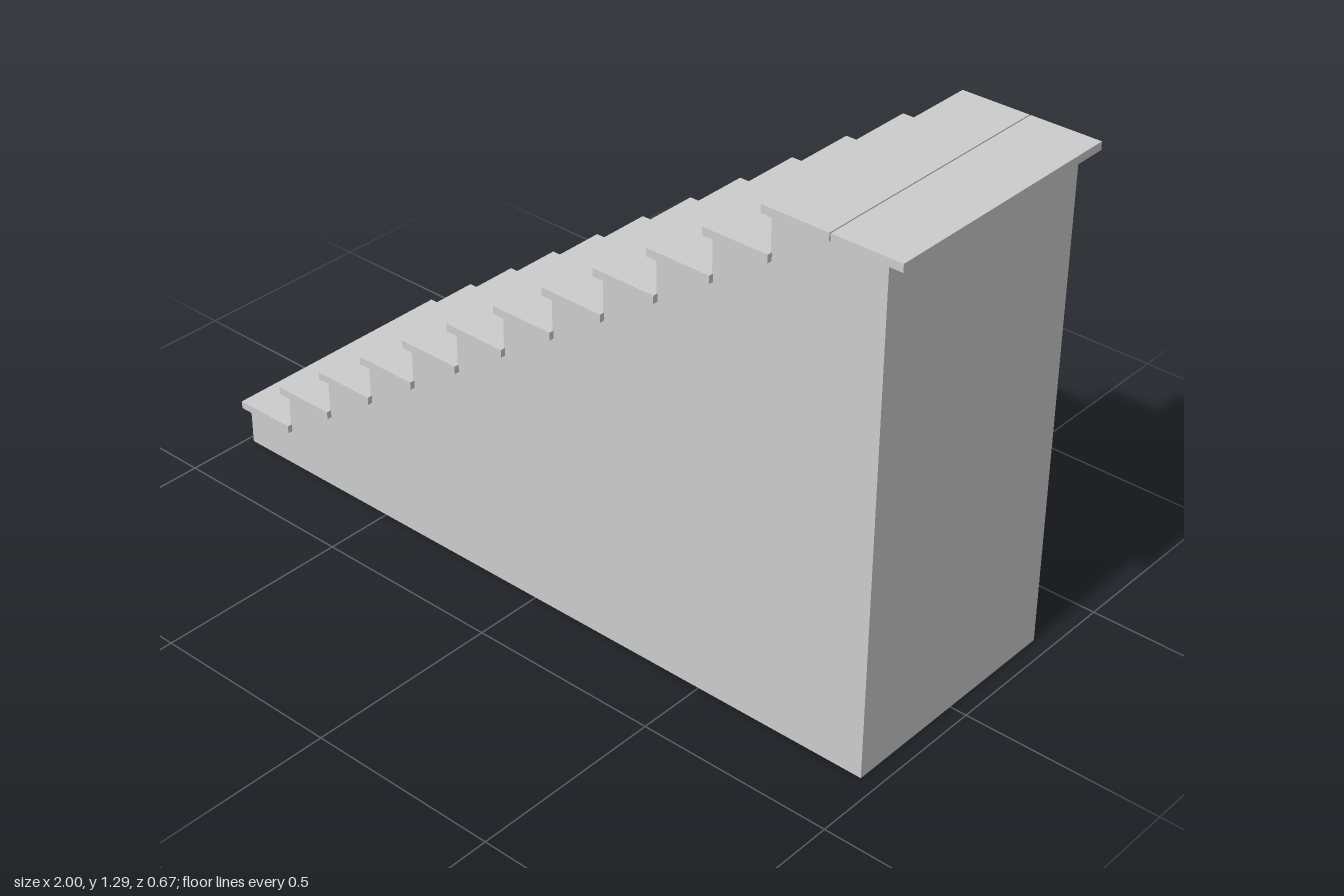
import * as THREE from 'three';

export function createModel() {
  const group = new THREE.Group();
  group.name = 'staircase';
  const material = new THREE.MeshStandardMaterial({ color: 0xcccccc, flatShading: true });

  const steps = 12, run = 0.15, rise = 0.1068;
  const thickness = 0.02, firstTop = 0.118;
  const bodyDepth = 0.642, treadDepth = 0.668;
  const riserX = -0.982, backX = 0.957;
  const treadTop = (i) => firstTop + i * rise;

  // Solid stepped body, a side profile extruded across the width
  const profile = new THREE.Shape();
  profile.moveTo(riserX, 0);
  profile.lineTo(backX, 0);
  profile.lineTo(backX, treadTop(steps - 1) - thickness);
  for (let i = steps - 1; i >= 0; i--) {
    const x = riserX + i * run;
    profile.lineTo(x, treadTop(i) - thickness);
    if (i > 0) profile.lineTo(x, treadTop(i - 1) - thickness);
  }
  profile.closePath();
  const bodyGeometry = new THREE.ExtrudeGeometry(profile, { depth: bodyDepth, bevelEnabled: false });
  bodyGeometry.translate(0, 0, -bodyDepth / 2);
  const body = new THREE.Mesh(bodyGeometry, material);
  body.name = 'body';
  group.add(body);

  // Overhanging boards laid on the body
  function addBoard(name, x0, x1, top) {
    const board = new THREE.Mesh(new THREE.BoxGeometry(x1 - x0, thickness, treadDepth), material);
    board.position.set((x0 + x1) / 2, top - thickness / 2, 0);
    board.name = name;
    group.add(board);
  }

  for (let i = 0; i < steps; i++) {
    const x = -1 + i * run;
    addBoard(`tread${i + 1}`, x, x + 0.171, treadTop(i));
  }
  // Second board completing the top landing, with a fine joint
  addBoard('landingBoard', 0.824, 1, treadTop(steps - 1));

  return group;
}
